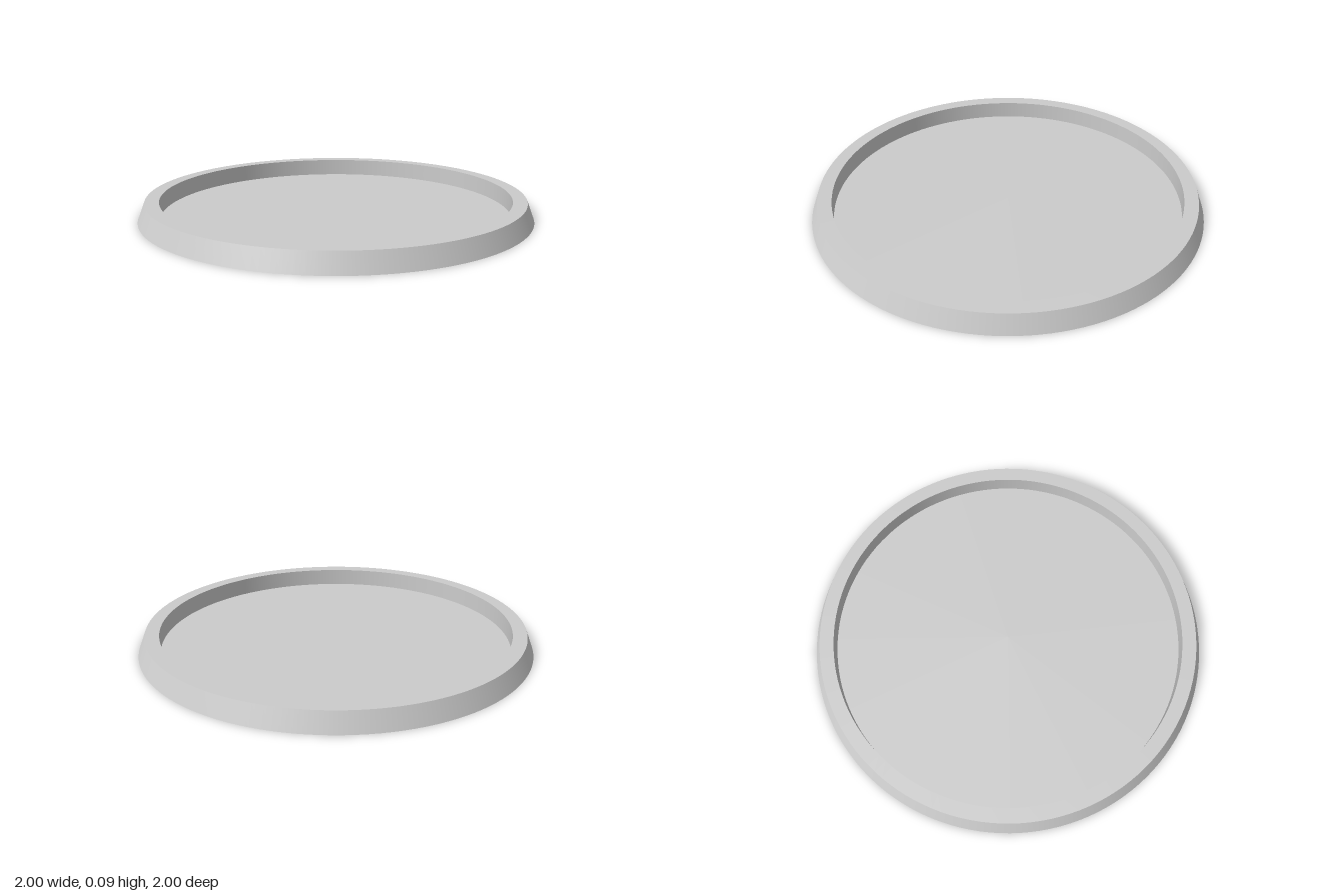
import * as THREE from 'three';

const HEIGHT = 0.092;
const R_BASE = 1;       // outer foot
const R_RIM = 0.964;    // outer edge of the flat rim
const R_WELL = 0.893;   // inside of the tray
const SEGMENTS = 128;

const material = new THREE.MeshStandardMaterial({ color: 0xcccccc, side: THREE.DoubleSide });

// One smooth ring between two [radius, height] points; separate rings keep the edges sharp.
function ring(name, from, to) {
  const points = [new THREE.Vector2(...from), new THREE.Vector2(...to)];
  const mesh = new THREE.Mesh(new THREE.LatheGeometry(points, SEGMENTS), material);
  mesh.name = name;
  return mesh;
}

export function createModel() {
  const tray = new THREE.Group();
  tray.name = 'roundTray';

  // Sloping outer wall: a wedge with a flat foot
  const outerWall = new THREE.Group();
  outerWall.name = 'outerWall';
  outerWall.add(
    ring('foot', [R_RIM, 0], [R_BASE, 0]),
    ring('slope', [R_BASE, 0], [R_RIM, HEIGHT]),
    ring('wedgeBack', [R_RIM, HEIGHT], [R_RIM, 0]),
  );

  // Flat rim, open underneath as a groove between the two walls
  const rim = ring('rim', [R_RIM, HEIGHT], [R_WELL, HEIGHT]);
  const innerWall = ring('innerWall', [R_WELL, HEIGHT], [R_WELL, 0]);

  // Thin floor
  const floor = new THREE.Mesh(new THREE.CircleGeometry(R_WELL, SEGMENTS), material);
  floor.name = 'floor';
  floor.rotation.x = -Math.PI / 2;

  tray.add(outerWall, rim, innerWall, floor);
  return tray;
}
